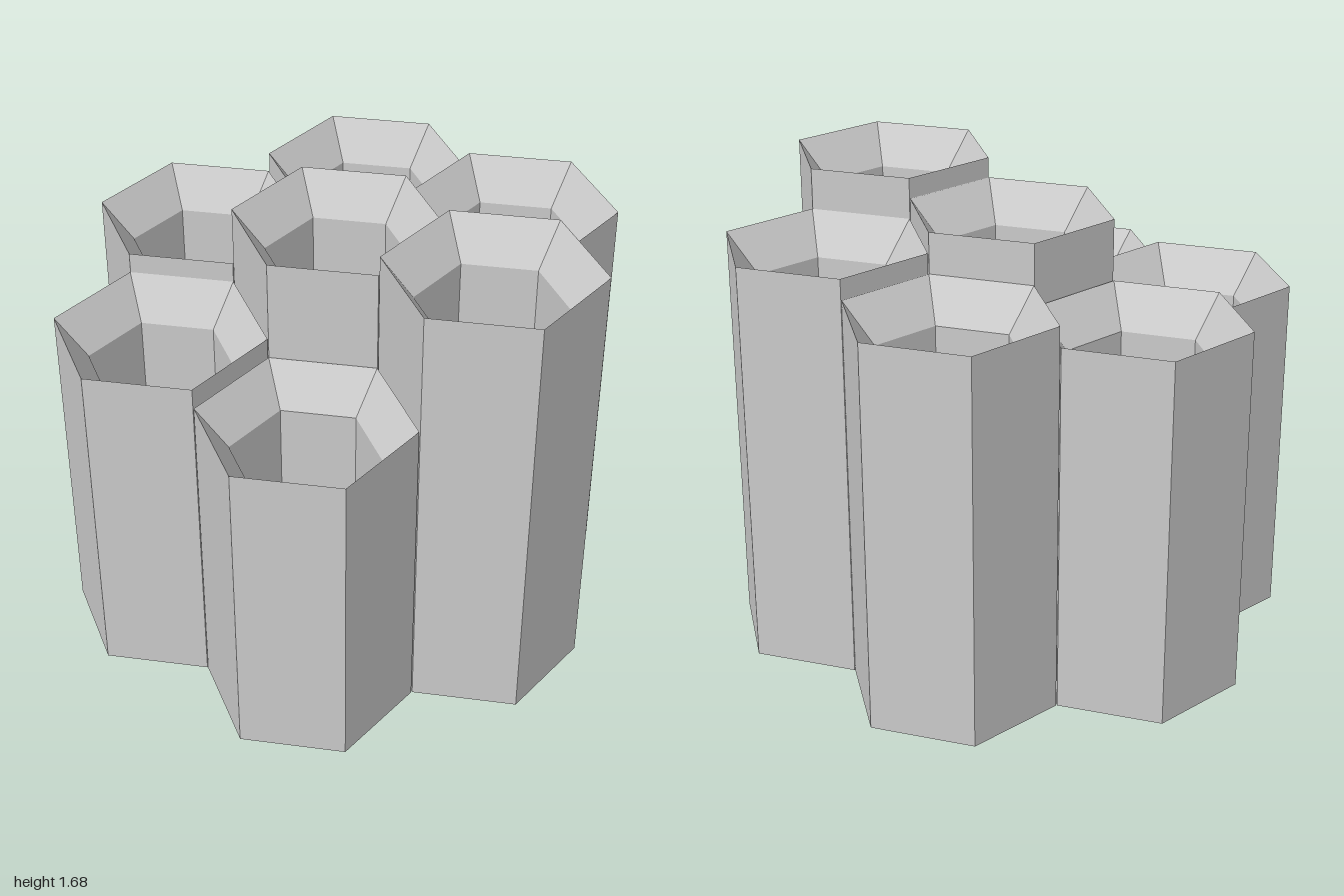
import * as THREE from 'three';

const R = 0.3833;        // outer corner radius of a cell
const r = 0.268;         // corner radius of the hollow
const SPACING = 0.668;   // distance between neighbouring cell centres
const BEVEL = 0.15;      // drop of the sloping rim
const FLOOR = 0.6;       // depth of the hollow's wall foot below the rim
const FUNNEL = 0.2;      // further drop of the floor to its middle

const material = new THREE.MeshStandardMaterial({ color: 0xcccccc, flatShading: true });

// Six-sided hollow column with a sloping rim and a funnel-shaped floor
function hexCell(name, h) {
  const profile = [
    [0, 0], [R, 0], [R, h],
    [r, h - BEVEL], [r, h - FLOOR], [0, h - FLOOR - FUNNEL],
  ].map(([x, y]) => new THREE.Vector2(x, y));
  const geometry = new THREE.LatheGeometry(profile, 6).toNonIndexed();
  geometry.computeVertexNormals();
  const cell = new THREE.Mesh(geometry, material);
  cell.name = name;
  return cell;
}

export function createModel() {
  const group = new THREE.Group();
  group.name = 'honeycombCluster';

  // Middle cell
  group.add(hexCell('centreCell', 1.602));

  // Ring of six cells, counter-clockwise from +x as seen from above
  const ring = [
    ['leftCell', 1.678], ['backLeftCell', 1.525], ['backRightCell', 1.45],
    ['rightCell', 1.373], ['frontRightCell', 1.297], ['frontLeftCell', 1.22],
  ];
  ring.forEach(([name, height], i) => {
    const angle = (i * Math.PI) / 3;
    const cell = hexCell(name, height);
    cell.position.set(SPACING * Math.cos(angle), 0, -SPACING * Math.sin(angle));
    group.add(cell);
  });
  return group;
}
